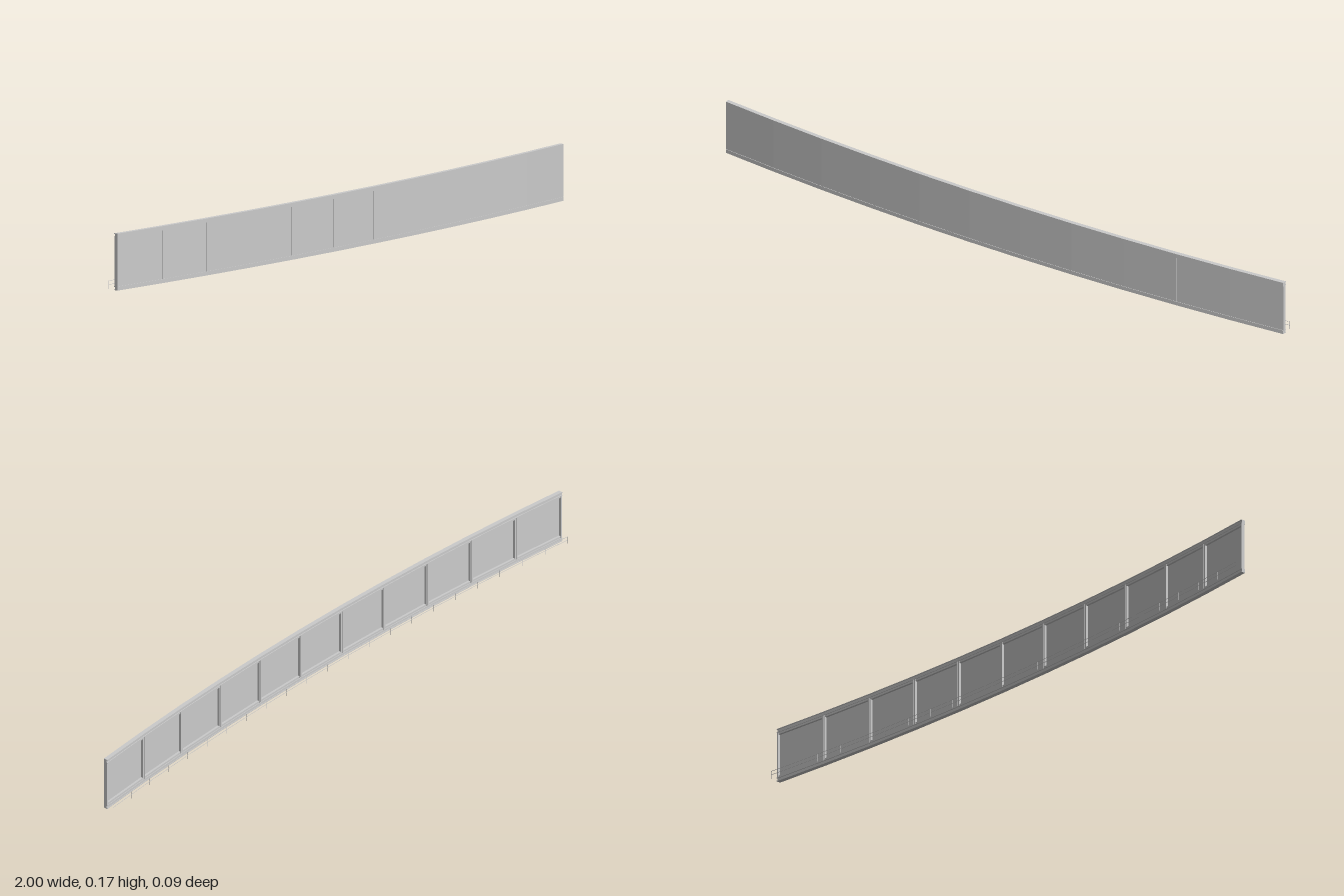
import * as THREE from 'three';

const PANELS = 11, W = 2 / PANELS, H = 0.17;
const mat = new THREE.MeshStandardMaterial({ color: 0xcccccc, flatShading: true });

// Front line of the wall: a shallow arc made of straight panels
const arc = (x) => 0.045 - 0.052 * x * x;
function frontZ(x) {
  const i = Math.min(PANELS - 1, Math.max(0, Math.floor((x + 1) / W + 1e-6)));
  const a = -1 + i * W;
  return THREE.MathUtils.lerp(arc(a), arc(a + W), (x - a) / W);
}

// Sweeps a section, given as [depth behind the front, height], from x0 to x1
function sweep(name, section, x0, x1, steps = 1) {
  const shape = new THREE.Shape(section.map(([d, y]) => new THREE.Vector2(d, y)));
  const geo = new THREE.ExtrudeGeometry(shape, { depth: 1, steps, bevelEnabled: false });
  const p = geo.attributes.position;
  for (let i = 0; i < p.count; i++) {
    const x = x0 + (x1 - x0) * p.getZ(i);
    p.setXYZ(i, x, p.getY(i), frontZ(x) - p.getX(i));
  }
  geo.computeVertexNormals();
  const mesh = new THREE.Mesh(geo, mat);
  mesh.name = name;
  return mesh;
}

const rect = (d0, d1, y0, y1) => [[d0, y0], [d1, y0], [d1, y1], [d0, y1]];

export function createModel() {
  const model = new THREE.Group();
  model.name = 'curvedPanelWall';

  // Long channels along the bottom and top, grooved at the back
  const channel = [
    [0, 0], [0.0135, 0], [0.0135, 0.002], [0.011, 0.002],
    [0.011, 0.010], [0.0135, 0.010], [0.0135, 0.012], [0, 0.012],
  ];
  model.add(sweep('bottomChannel', channel, -1, 1, PANELS));
  model.add(sweep('topChannel', channel.map(([d, y]) => [d, H - y]), -1, 1, PANELS));

  for (let i = 0; i < PANELS; i++) {
    const a = -1 + i * W, b = a + W;
    const bay = new THREE.Group();
    bay.name = 'bay' + (i + 1);
    // Facing sheet with a hairline joint
    bay.add(sweep('panel', rect(0.0015, 0.0045, 0.012, H - 0.012), a + 0.0004, b - 0.0004));
    // Frame around the back of the panel
    bay.add(sweep('lowerFrame', rect(0.0045, 0.0115, 0.012, 0.018), a + 0.004, b - 0.004));
    bay.add(sweep('upperFrame', rect(0.0045, 0.0115, H - 0.018, H - 0.012), a + 0.004, b - 0.004));
    bay.add(sweep('sideFrame', rect(0.0045, 0.0125, 0.012, H - 0.012), a + 0.0008, a + 0.005));
    bay.add(sweep('sideFrame', rect(0.0045, 0.0125, 0.012, H - 0.012), b - 0.005, b - 0.0008));
    model.add(bay);
  }

  // End plates
  for (const s of [-1, 1]) {
    const x0 = s < 0 ? -1 : 0.998;
    model.add(sweep('endPlate', rect(0.001, 0.0128, 0.012, H - 0.012), x0, x0 + 0.002));
  }

  // Low guard rail standing behind the wall
  const railing = new THREE.Group();
  railing.name = 'railing';
  const depth = 0.0355, t = 0.0005;
  for (const y of [0.014, 0.0255]) {
    railing.add(sweep('rail', rect(depth - t, depth + t, y - t, y + t), -1, 1, PANELS));
  }
  for (let i = 0; i <= PANELS * 2; i++) {
    const x = THREE.MathUtils.clamp(-1 + i * W / 2, -1 + t, 1 - t);
    railing.add(sweep('railPost', rect(depth - t, depth + t, 0.001, 0.026), x - t, x + t));
  }
  model.add(railing);

  return model;
}
